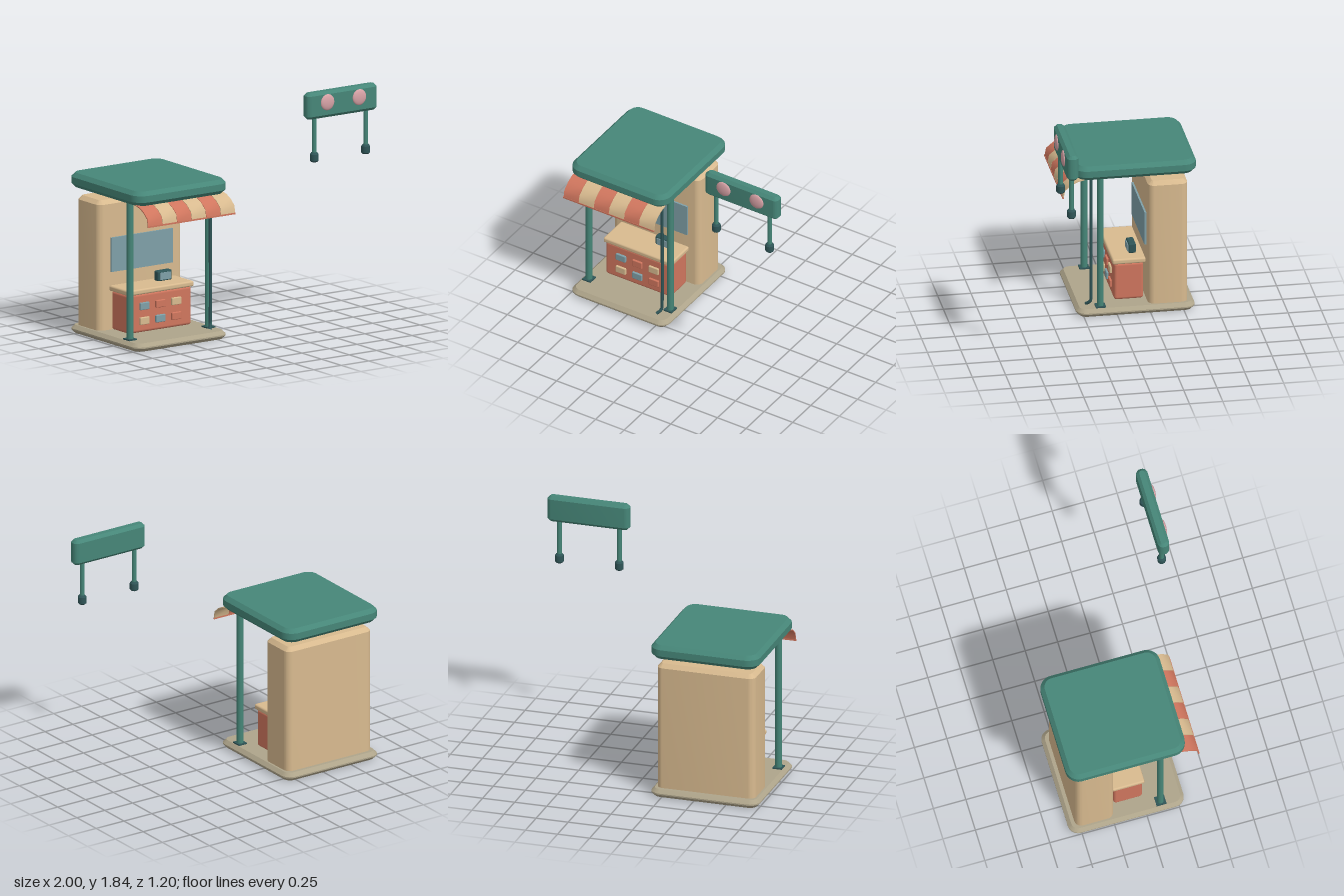
import * as THREE from 'three';
import { toCreasedNormals } from 'three/addons/utils/BufferGeometryUtils.js';
import { RoundedBoxGeometry } from 'three/addons/geometries/RoundedBoxGeometry.js';

const mat = (name, color) => {
  const m = new THREE.MeshStandardMaterial({ color });
  m.name = name;
  return m;
};

export function createModel() {
  const root = new THREE.Group();
  root.name = 'kiosk';
  const green = mat('green', 0x468678);
  const dark = mat('darkTeal', 0x2f5557);
  const tan = mat('tan', 0xd8ba8f);
  const stone = mat('stone', 0xaea48a);
  const red = mat('terracotta', 0xd0765e);
  const blue = mat('glassBlue', 0x7fa0a8);
  const pink = mat('pink', 0xd8a3a7);

  const add = (name, geo, material, x = 0, y = 0, z = 0, parent = root) => {
    const m = new THREE.Mesh(geo, material);
    m.name = name;
    m.position.set(x, y, z);
    parent.add(m);
    return m;
  };

  // Block with rounded plan corners and chamfered top and bottom rims
  const slab = (x0, x1, y0, y1, z0, z1, radius, bevel) => {
    const w = (x1 - x0) / 2 - bevel, d = (z1 - z0) / 2 - bevel, r = radius - bevel;
    const s = new THREE.Shape();
    s.moveTo(-w + r, -d);
    s.absarc(w - r, -d + r, r, -Math.PI / 2, 0);
    s.absarc(w - r, d - r, r, 0, Math.PI / 2);
    s.absarc(-w + r, d - r, r, Math.PI / 2, Math.PI);
    s.absarc(-w + r, -d + r, r, Math.PI, Math.PI * 1.5);
    const g = new THREE.ExtrudeGeometry(s, {
      depth: y1 - y0 - 2 * bevel, bevelThickness: bevel, bevelSize: bevel, bevelSegments: 1, curveSegments: 5,
    });
    g.rotateX(-Math.PI / 2).translate((x0 + x1) / 2, y0 + bevel, (z0 + z1) / 2);
    return toCreasedNormals(g, 0.7);
  };
  const box = (name, w, h, d, r, material, x, y, z, parent) =>
    add(name, new RoundedBoxGeometry(w, h, d, 2, r), material, x, y, z, parent);

  // Stand structure
  add('base', slab(-1, -0.156, 0, 0.062, -0.588, 0.302, 0.08, 0.026), stone);
  add('roof', slab(-1, -0.156, 1.105, 1.215, -0.6, 0.315, 0.1, 0.03), green);
  add('backCabinet', slab(-0.96, -0.197, 0.03, 1.045, -0.535, -0.238, 0.052, 0.03), tan);
  add('window', new THREE.BoxGeometry(0.56, 0.26, 0.016), blue, -0.577, 0.63, -0.232);

  // Front posts with foot plates
  for (const x of [-0.934, -0.222]) {
    add('post', new THREE.CylinderGeometry(0.026, 0.026, 1.06, 12), green, x, 0.585, 0.121);
    add('postFoot', new THREE.BoxGeometry(0.072, 0.012, 0.076), dark, x, 0.066, 0.121);
  }

  // Cable running up beside the right post
  const cable = new THREE.CatmullRomCurve3([
    [-0.28, 0.066, 0.22], [-0.262, 0.082, 0.2], [-0.254, 0.105, 0.186], [-0.252, 0.14, 0.186], [-0.252, 1.115, 0.186],
  ].map((p) => new THREE.Vector3(...p)), false, 'centripetal');
  add('cable', new THREE.TubeGeometry(cable, 60, 0.012, 8), dark);

  // Ceiling lamps
  for (const x of [-0.826, -0.33]) {
    add('lampRim', new THREE.CylinderGeometry(0.058, 0.058, 0.018, 20), dark, x, 1.101, 0.07);
    add('lampDisc', new THREE.CylinderGeometry(0.053, 0.053, 0.006, 20), tan, x, 1.09, 0.07);
  }

  // Counter with display tiles
  const counter = new THREE.Group();
  counter.name = 'counter';
  root.add(counter);
  box('counterBody', 0.574, 0.295, 0.222, 0.022, red, -0.578, 0.217, -0.106, counter);
  box('counterTop', 0.598, 0.042, 0.25, 0.014, tan, -0.577, 0.381, -0.106, counter);
  [[blue, red, tan], [tan, blue, red]].forEach((row, j) => row.forEach((m, i) =>
    box('displayTile', 0.085, 0.056, 0.026, 0.006, m, -0.724 + i * 0.144, 0.27 - j * 0.112, 0.008, counter)));

  // Till
  box('till', 0.13, 0.078, 0.056, 0.012, dark, -0.443, 0.438, -0.147, counter);
  add('tillScreen', new THREE.BoxGeometry(0.095, 0.054, 0.009), blue, -0.443, 0.438, -0.117, counter);

  // Striped awning: each strip is a thin drooping profile, extruded sideways
  const awning = new THREE.Group();
  awning.name = 'awning';
  root.add(awning);
  const outer = [[0.245, 1.113], [0.295, 1.102], [0.345, 1.079], [0.398, 1.034], [0.409, 0.975]];
  const inner = [[0.402, 0.975], [0.391, 1.03], [0.342, 1.072], [0.293, 1.095], [0.245, 1.106]];
  const section = new THREE.Shape([...outer, ...inner].map((p) => new THREE.Vector2(...p)));
  const stripe = 0.793 / 6;
  for (let i = 0; i < 6; i++) {
    const g = new THREE.ExtrudeGeometry(section, { depth: stripe - 0.003, bevelEnabled: false });
    g.rotateY(-Math.PI / 2);
    add('awningStripe', toCreasedNormals(g, 0.8), i % 2 ? tan : red, -0.977 + (i + 1) * stripe, 0, 0, awning);
  }
  add('awningHem', new THREE.BoxGeometry(0.793, 0.012, 0.01), red, -0.58, 0.974, 0.406, awning);

  // Separate sign board on two legs
  const sign = new THREE.Group();
  sign.name = 'signBoard';
  root.add(sign);
  add('board', slab(0.36, 1, 1.635, 1.835, 0.491, 0.577, 0.04, 0.022), green, 0, 0, 0, sign);
  for (const x of [0.534, 0.823]) {
    const disc = add('signDisc', new THREE.SphereGeometry(0.061, 24, 12), pink, x, 1.753, 0.577, sign);
    disc.scale.z = 0.3;
  }
  const footProfile = [[0, -0.036], [0.024, -0.036], [0.033, -0.026], [0.033, 0.022], [0.022, 0.036], [0, 0.036]]
    .map((p) => new THREE.Vector2(...p));
  for (const x of [0.444, 0.911]) {
    add('signLeg', new THREE.CylinderGeometry(0.018, 0.018, 0.29, 10), green, x, 1.505, 0.534, sign);
    add('signFoot', toCreasedNormals(new THREE.LatheGeometry(footProfile, 12), 0.6), dark, x, 1.342, 0.534, sign);
  }
  return root;
}
